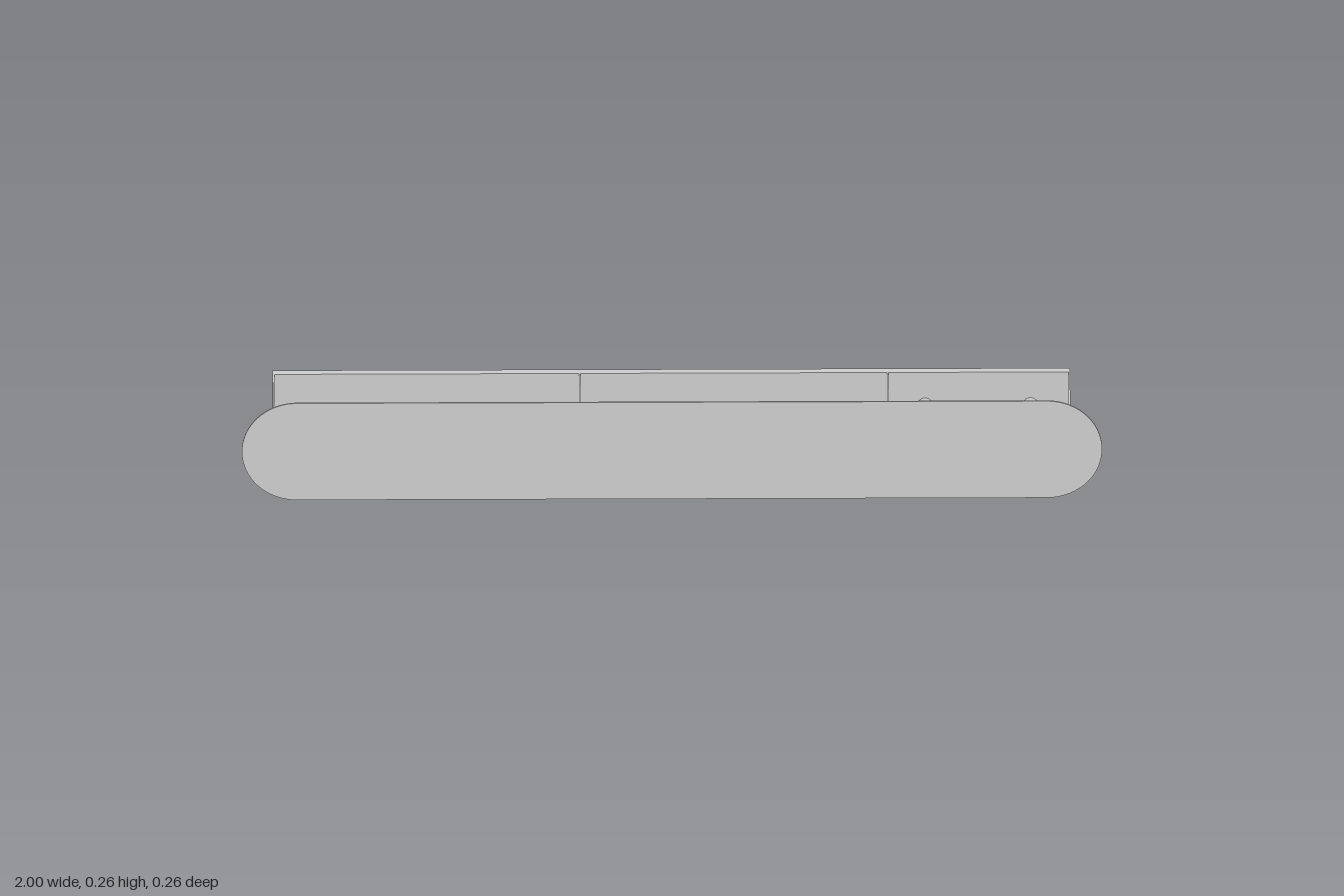
import * as THREE from 'three';

const T = 0.004; // sheet thickness

export function createModel() {
  const group = new THREE.Group();
  const mat = new THREE.MeshStandardMaterial({ color: 0xcccccc });

  const add = (name, geo, x = 0, y = 0, z = 0, parent = group) => {
    const mesh = new THREE.Mesh(geo, mat);
    mesh.name = name;
    mesh.position.set(x, y, z);
    parent.add(mesh);
    return mesh;
  };
  // Box given by its limits on each axis
  const slab = (name, [x0, x1], [y0, y1], [z0, z1], parent) =>
    add(name, new THREE.BoxGeometry(x1 - x0, y1 - y0, z1 - z0),
      (x0 + x1) / 2, (y0 + y1) / 2, (z0 + z1) / 2, parent);

  const X = 0.927, Y = [0.03, 0.2], BACK = -0.131, PANEL = -0.112, FRONT = 0.127;

  // Front plate with fully rounded ends
  const R = 0.128;
  const plate = new THREE.Shape();
  plate.absarc(1 - R, R, R, -Math.PI / 2, Math.PI / 2);
  plate.absarc(-1 + R, R, R, Math.PI / 2, Math.PI * 1.5);
  add('frontPlate', new THREE.ExtrudeGeometry(plate,
    { depth: T, bevelEnabled: false, curveSegments: 32 }), 0, 0, FRONT);

  // Recessed back panel with a top flange reaching the wall
  slab('backPanel', [-X, X], Y, [PANEL - T, PANEL]);
  slab('topFlange', [-X, X], [Y[1] - T, Y[1]], [BACK, PANEL]);

  // End panels and inner dividers
  for (const s of [-1, 1]) {
    const x = s * (X - T / 2);
    slab('endPanel', [x - T / 2, x + T / 2], Y, [BACK, FRONT]);
  }
  for (const x of [-0.213, 0.503])
    slab('divider', [x - T / 2, x + T / 2], Y, [PANEL, FRONT]);

  // Two floor slats under the shelf compartments
  for (const z of [[-0.085, -0.012], [0.017, 0.09]])
    slab('floorSlat', [-X, 0.503], [Y[0], Y[0] + T], z);

  // Hanging pegs with a wider head, turned towards the front
  const pegProfile = [[0, 0], [0.017, 0], [0.017, 0.103], [0.026, 0.103], [0.026, 0.112], [0, 0.112]];
  const pegGeo = new THREE.CylinderGeometry(0.017, 0.017, 0.103, 32);
  const headGeo = new THREE.CylinderGeometry(0.026, 0.026, 0.009, 32);
  for (const x of [0.59, 0.835]) {
    const peg = new THREE.Group();
    peg.name = 'peg';
    peg.position.set(x, 0.115, PANEL);
    peg.rotation.x = Math.PI / 2;
    group.add(peg);
    add('pegShaft', pegGeo, 0, pegProfile[2][1] / 2, 0, peg);
    add('pegHead', headGeo, 0, 0.1075, 0, peg);
  }

  // Wall hangers: a keyhole plate standing off the back panel
  const w = 0.029, y0 = 0.105, y1 = Y[1] - T;
  const hanger = new THREE.Shape([[-w, y0], [w, y0], [w, y1], [-w, y1]]
    .map(([x, y]) => new THREE.Vector2(x, y)));
  const keyhole = new THREE.Path();
  const r = 0.014, n = 0.006, cy = 0.138, a = Math.asin(n / r);
  keyhole.absarc(0, cy, r, Math.PI / 2 + a, Math.PI * 2.5 - a);
  keyhole.absarc(0, 0.172, n, 0, Math.PI);
  keyhole.closePath();
  hanger.holes.push(keyhole);
  const hangerGeo = new THREE.ExtrudeGeometry(hanger,
    { depth: T, bevelEnabled: false, curveSegments: 16 });
  for (const x of [-0.83, 0.83]) {
    const unit = new THREE.Group();
    unit.name = 'wallHanger';
    unit.position.x = x;
    group.add(unit);
    add('keyholePlate', hangerGeo, 0, 0, BACK, unit);
    slab('hangerFoot', [-w, w], [y0, y0 + T], [BACK + T, PANEL - T], unit);
    for (const s of [-1, 1]) {
      const sx = s * (w - T / 2);
      slab('hangerSide', [sx - T / 2, sx + T / 2], [y0 + T, y1], [BACK + T, PANEL - T], unit);
    }
  }
  return group;
}
